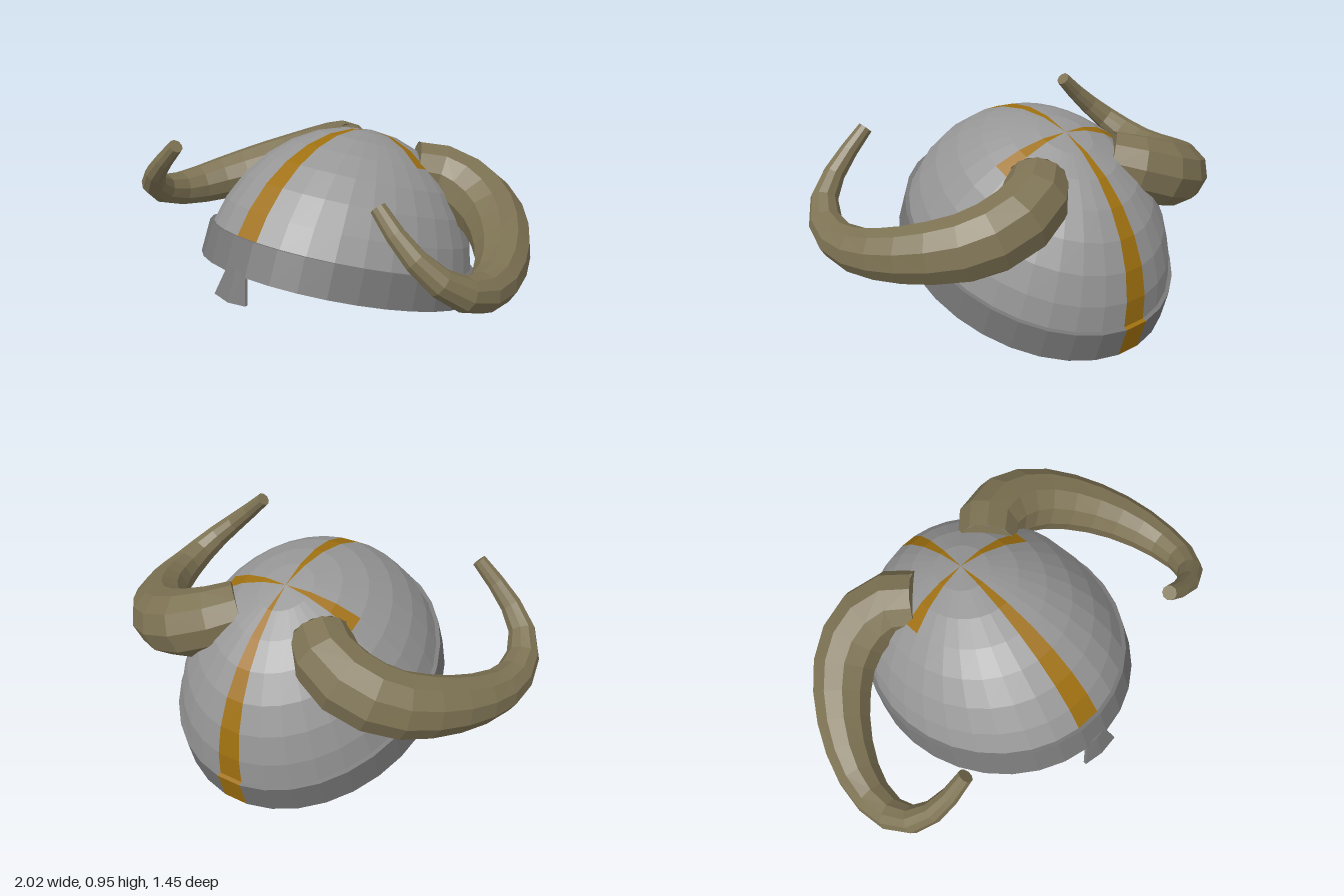
import * as THREE from 'three';

const SEGMENTS = 32;

function material(name, color) {
  return new THREE.MeshStandardMaterial({ name, color, flatShading: true, side: THREE.DoubleSide });
}

// Elliptical rings [rx, rz, height] joined by quads; keep(ring, segment) picks the faces
function ringSurface(name, rings, mat, keep) {
  const positions = [];
  const corner = (r, s) => {
    const a = (s - 0.5) * Math.PI * 2 / SEGMENTS;
    const [rx, rz, h] = rings[r];
    return [rx * Math.sin(a), h, rz * Math.cos(a)];
  };
  for (let r = 0; r < rings.length - 1; r++) {
    for (let s = 0; s < SEGMENTS; s++) {
      if (!keep(r, s)) continue;
      const a = corner(r, s), b = corner(r, s + 1), c = corner(r + 1, s + 1), d = corner(r + 1, s);
      positions.push(...a, ...b, ...c);
      if (rings[r + 1][0] > 0) positions.push(...a, ...c, ...d);
    }
  }
  const geometry = new THREE.BufferGeometry();
  geometry.setAttribute('position', new THREE.Float32BufferAttribute(positions, 3));
  geometry.computeVertexNormals();
  const mesh = new THREE.Mesh(geometry, mat);
  mesh.name = name;
  return mesh;
}

// Tapered tube bent along a curve, closed at both ends
function makeHorn(mat) {
  const path = [
    [0.21, 0.74, -0.31], [0.31, 0.71, -0.40], [0.45, 0.655, -0.425], [0.60, 0.60, -0.375],
    [0.73, 0.56, -0.26], [0.84, 0.525, -0.10], [0.905, 0.505, 0.06], [0.925, 0.51, 0.18],
    [0.91, 0.555, 0.32], [0.845, 0.635, 0.415], [0.73, 0.745, 0.455], [0.60, 0.872, 0.455],
  ].map(p => new THREE.Vector3(...p));
  const radii = [0.14, 0.15, 0.158, 0.15, 0.135, 0.117, 0.1, 0.087, 0.072, 0.058, 0.045, 0.034];
  const curve = new THREE.CatmullRomCurve3(path);
  const steps = 14, sides = 10;
  const geometry = new THREE.TubeGeometry(curve, steps, 1, sides);
  const pos = geometry.attributes.position, v = new THREE.Vector3();
  for (let i = 0; i <= steps; i++) {
    const f = curve.getUtoTmapping(i / steps) * (radii.length - 1);
    const k = Math.min(Math.floor(f), radii.length - 2);
    const radius = THREE.MathUtils.lerp(radii[k], radii[k + 1], f - k);
    const center = curve.getPointAt(i / steps);
    for (let j = 0; j <= sides; j++) {
      const n = i * (sides + 1) + j;
      v.fromBufferAttribute(pos, n).sub(center).multiplyScalar(radius).add(center);
      pos.setXYZ(n, v.x, v.y, v.z);
    }
  }
  const horn = new THREE.Group();
  const body = new THREE.Mesh(geometry, mat);
  body.name = 'hornBody';
  horn.add(body);
  [[0, -1, 'hornBase'], [1, 1, 'hornTip']].forEach(([u, dir, name]) => {
    const cap = new THREE.Mesh(new THREE.CircleGeometry(radii[u * (radii.length - 1)], sides), mat);
    cap.position.copy(curve.getPointAt(u));
    cap.lookAt(cap.position.clone().addScaledVector(curve.getTangentAt(u), dir));
    cap.name = name;
    horn.add(cap);
  });
  return horn;
}

// Flared, slightly folded plate with a gilded back
function makeNoseGuard(front, back) {
  const geometry = new THREE.BoxGeometry(1, 1, 1, 2, 1, 1);
  const pos = geometry.attributes.position;
  for (let i = 0; i < pos.count; i++) {
    const x = pos.getX(i), low = pos.getY(i) < 0, fold = Math.abs(x) < 0.01 ? 0.012 : 0;
    pos.setXYZ(i,
      x * (low ? 0.19 : 0.11),
      low ? 0.37 - fold * 0.6 : 0.5,
      (low ? 0.698 + fold : 0.651 + fold * 0.5) + pos.getZ(i) * 0.014);
  }
  geometry.computeVertexNormals();
  const mesh = new THREE.Mesh(geometry, [front, front, front, front, front, back]);
  mesh.name = 'noseGuard';
  return mesh;
}

export function createModel() {
  const steel = material('steel', 0x979797);
  const darkSteel = material('darkSteel', 0x787878);
  const gold = material('gold', 0x9f7010);
  const hornBrown = material('hornBrown', 0x7d7253);
  const model = new THREE.Group();
  model.name = 'hornedHelmet';

  // Tilted shell, front raised
  const shell = new THREE.Group();
  shell.name = 'shell';
  shell.rotation.x = -0.339;
  shell.position.set(0, 0.24, -0.01);
  model.add(shell);

  // Dome with long front and back stripes and short side stripes
  const domeRings = [];
  for (let k = 7; k >= 0; k--) {
    const a = k * Math.PI / 16, s = k ? Math.sin(a) : 0;
    domeRings.push([0.598 * s, 0.713 * s, 0.711 * Math.cos(a)]);
  }
  const domeStripe = (r, s) => s % 16 === 0 || (s % 8 === 0 && r >= 4);
  shell.add(ringSurface('dome', domeRings, steel, (r, s) => !domeStripe(r, s)));
  shell.add(ringSurface('domeStripes', domeRings, gold, domeStripe));

  // Thick band: inner wall, rim, outer wall, top lip
  const bandRings = [
    [0.583, 0.695, 0.139], [0.585, 0.694, 0], [0.612, 0.722, 0],
    [0.602, 0.714, 0.155], [0.583, 0.695, 0.155],
  ];
  const bandStripe = (r, s) => s === 16 || (s === 0 && r === 0);
  shell.add(ringSurface('band', bandRings, darkSteel, (r, s) => !bandStripe(r, s)));
  shell.add(ringSurface('bandStripes', bandRings, gold, bandStripe));

  model.add(makeNoseGuard(darkSteel, gold));

  // Mirrored horns
  for (const side of [1, -1]) {
    const horn = makeHorn(hornBrown);
    horn.name = side > 0 ? 'leftHorn' : 'rightHorn';
    horn.scale.x = side;
    model.add(horn);
  }
  return model;
}
